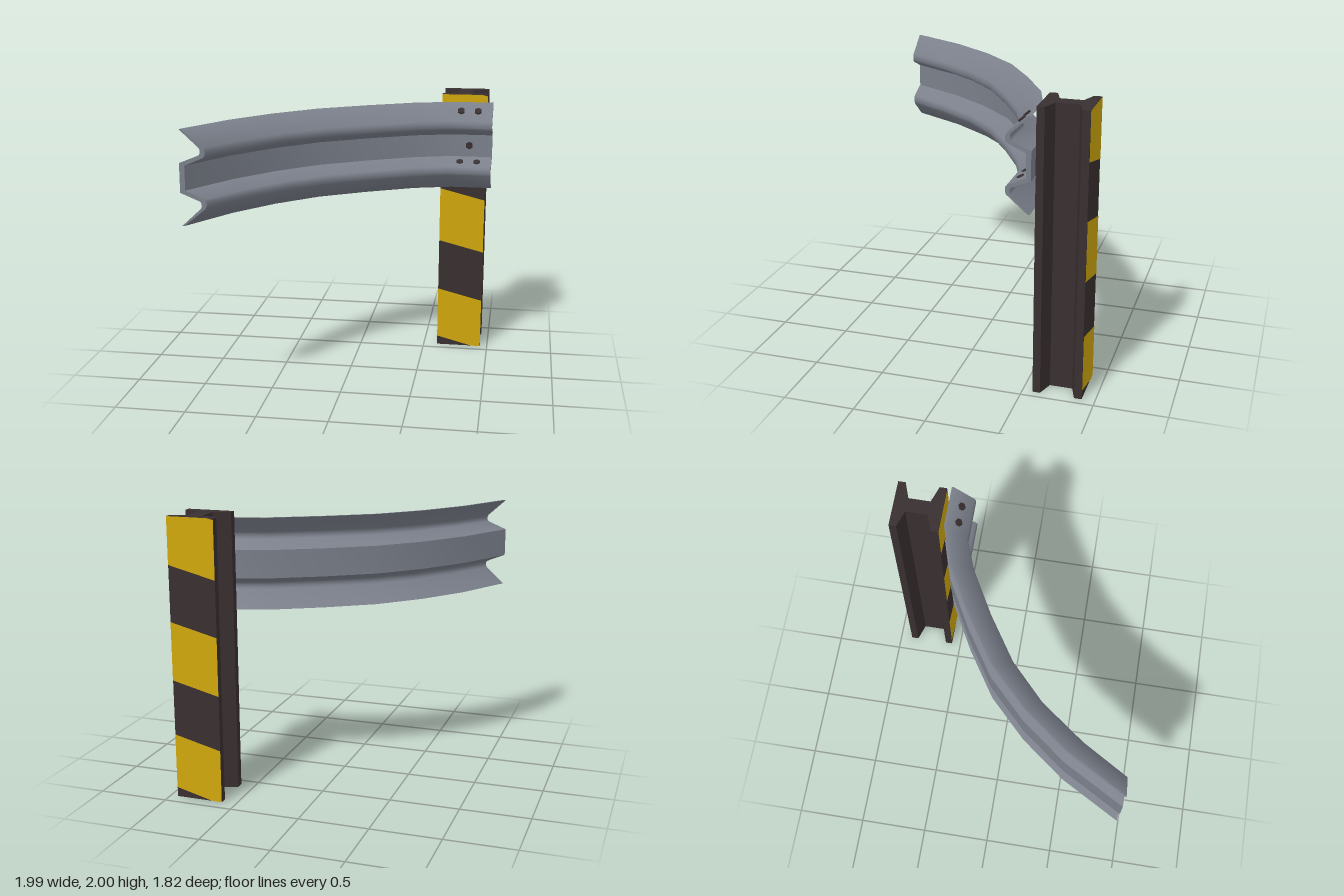
import * as THREE from 'three';
import { toCreasedNormals } from 'three/addons/utils/BufferGeometryUtils.js';

const steel = new THREE.MeshStandardMaterial({ name: 'greySteel', color: 0x7b808b });
const dark = new THREE.MeshStandardMaterial({ name: 'darkBrown', color: 0x392f30 });
const yellow = new THREE.MeshStandardMaterial({ name: 'warningYellow', color: 0xd0a80c });

function add(parent, name, geometry, material) {
  const mesh = new THREE.Mesh(geometry, material);
  mesh.name = name;
  parent.add(mesh);
  return mesh;
}

// Plan of the rail: [x, z] of its back and front planes at every bend
const backLine = [[-0.995, 0.91], [-0.765, 0.5], [-0.53, 0.195], [-0.26, -0.07],
  [0.065, -0.28], [0.405, -0.465], [0.69, -0.553], [0.99, -0.553]];
const frontLine = [[-0.82, 0.91], [-0.635, 0.6], [-0.41, 0.3], [-0.16, 0.065],
  [0.15, -0.135], [0.46, -0.305], [0.67, -0.383], [0.988, -0.383]];

// Upper half of the W section: [height from the middle, depth 0 = back to 1 = front]
const frontSkin = [[0.3245, 0.12], [0.205, 0.95], [0.185, 1], [0.155, 1], [0.138, 0.93], [0.083, 0.2]];
const backSkin = [[0.3245, 0.03], [0.205, 0.77], [0.19, 0.82], [0.17, 0.82], [0.155, 0.77], [0.1, 0]];
const midY = 1.6225;

function railGeometry() {
  const mirrored = (half) => [...half, ...half.map(([y, t]) => [-y, t]).reverse()];
  const section = [...mirrored(frontSkin), ...mirrored(backSkin).reverse()];
  const n = section.length;
  const positions = [];
  backLine.forEach((b, i) => {
    const f = frontLine[i];
    for (const [y, t] of section) {
      positions.push(b[0] + (f[0] - b[0]) * t, midY + y, b[1] + (f[1] - b[1]) * t);
    }
  });
  const index = [];
  const quad = (a, b, c, d) => index.push(a, b, c, a, c, d);
  const last = (backLine.length - 1) * n;
  // Skin
  for (let r = 0; r < last; r += n) {
    for (let j = 0; j < n; j++) {
      const k = (j + 1) % n;
      quad(r + j, r + k, r + n + k, r + n + j);
    }
  }
  // Cut ends
  for (let j = 0; j < n / 2 - 1; j++) {
    const p = n - 1 - j;
    quad(j, p, p - 1, j + 1);
    quad(last + j, last + j + 1, last + p - 1, last + p);
  }
  const geometry = new THREE.BufferGeometry();
  geometry.setAttribute('position', new THREE.Float32BufferAttribute(positions, 3));
  geometry.setIndex(index);
  return toCreasedNormals(geometry, 0.9);
}

function createPost() {
  const post = new THREE.Group();
  post.name = 'post';
  post.position.set(0.775, 0, -0.74);

  // I-beam with tapered flanges
  const quarter = [[0.17, 0.17], [0.17, 0.118], [0.052, 0.078]];
  const outline = [
    ...quarter,
    ...quarter.map(([x, z]) => [x, -z]).reverse(),
    ...quarter.map(([x, z]) => [-x, -z]),
    ...quarter.map(([x, z]) => [-x, z]).reverse(),
  ].map(([x, z]) => new THREE.Vector2(x, z));
  const beam = new THREE.ExtrudeGeometry(new THREE.Shape(outline), { depth: 2, bevelEnabled: false });
  beam.rotateX(-Math.PI / 2);
  add(post, 'iBeam', beam, dark);

  // Slanted stripes on both flange faces
  const w = 0.17;
  const bands = [
    [[-w, 0.07], [0.1, 0], [w, 0], [w, 0.38], [-w, 0.465]],
    [[-w, 0.86], [w, 0.775], [w, 1.19], [-w, 1.275]],
    [[-w, 1.67], [w, 1.585], [w, 1.99], [0.13, 2], [-w, 2]],
  ];
  for (const [side, angle] of [['front', 0], ['back', Math.PI]]) {
    const stripes = new THREE.Group();
    stripes.name = side + 'Stripes';
    stripes.rotation.y = angle;
    for (const band of bands) {
      const shape = new THREE.Shape(band.map(([x, y]) => new THREE.Vector2(x, y)));
      add(stripes, 'stripe', new THREE.ShapeGeometry(shape), yellow).position.z = 0.172;
    }
    post.add(stripes);
  }

  // Paint under the front flange
  const foot = add(post, 'footPaint', new THREE.PlaneGeometry(0.26, 0.05), yellow);
  foot.rotation.x = Math.PI / 2;
  foot.position.set(0.04, 0.0, 0.145);
  foot.position.y = -0.001;
  return post;
}

function createBolts() {
  const bolts = new THREE.Group();
  bolts.name = 'bolts';
  const geometry = new THREE.CylinderGeometry(0.028, 0.028, 0.024, 6).toNonIndexed();
  geometry.computeVertexNormals();
  // [x, y, z, tilt of the axis from upright]
  const spots = [[0.82, 1.625, -0.517, Math.PI / 2]];
  for (const x of [0.755, 0.88]) {
    spots.push([x, 1.89, -0.463, 0.71], [x, 1.505, -0.457, 0.45]);
  }
  for (const [x, y, z, tilt] of spots) {
    const bolt = add(bolts, 'bolt', geometry, dark);
    bolt.position.set(x, y, z);
    bolt.rotation.x = tilt;
  }
  return bolts;
}

export function createModel() {
  const model = new THREE.Group();
  model.name = 'guardRail';
  add(model, 'rail', railGeometry(), steel);
  model.add(createPost(), createBolts());
  return model;
}
